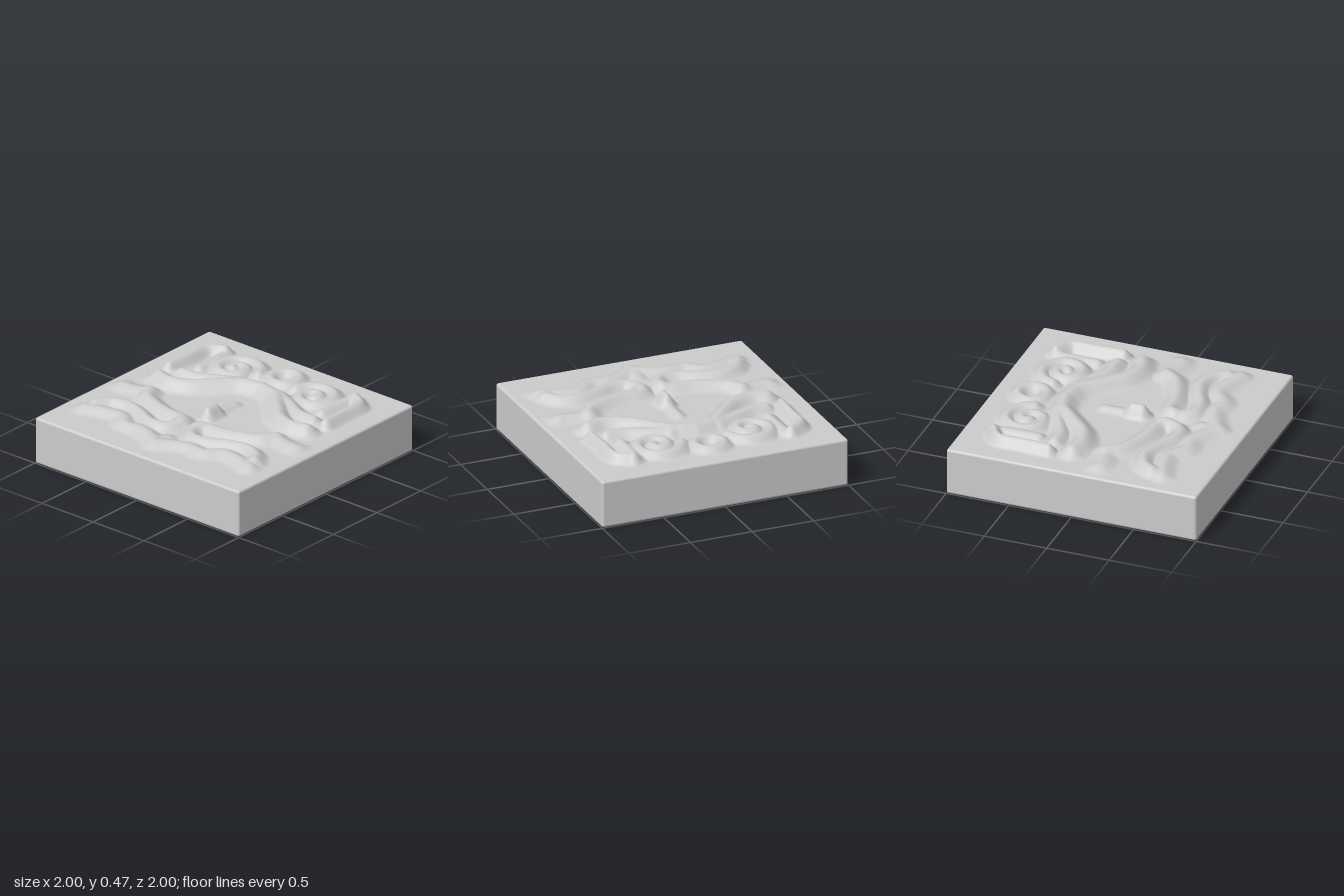
import * as THREE from 'three';
import { RoundedBoxGeometry } from 'three/addons/geometries/RoundedBoxGeometry.js';

const TOP = 0.376;

// Carved ridge: smooth path through [x, z] points, mirrored about x = 0
function ridge(height, width, points) {
  const curve = new THREE.CatmullRomCurve3(points.map(([x, z]) => new THREE.Vector3(x, 0, z)));
  return { height, width, path: curve.getPoints(points.length * 5) };
}

// Points along a spiral or ring
function spiral(cx, cz, r0, r1, a0, a1, n = 12) {
  return Array.from({ length: n + 1 }, (_, i) => {
    const t = i / n;
    const r = r0 + (r1 - r0) * t;
    const a = a0 + (a1 - a0) * t;
    return [cx + r * Math.cos(a), cz + r * Math.sin(a)];
  });
}

const ridges = [
  // brow arch
  ridge(0.08, 0.105, [[0, -0.43], [0.16, -0.39], [0.31, -0.25], [0.45, -0.12], [0.6, -0.07], [0.72, -0.1]]),
  // band above the brow
  ridge(0.062, 0.085, [[0.2, -0.43], [0.34, -0.36], [0.5, -0.28], [0.64, -0.27]]),
  // outer side strands
  ridge(0.075, 0.07, [[0.64, -0.76], [0.75, -0.68], [0.76, -0.48], [0.77, -0.27]]),
  ridge(0.045, 0.07, [[0.61, -0.74], [0.6, -0.58], [0.6, -0.42]]),
  // scrolls
  ridge(0.055, 0.075, spiral(0.38, -0.58, 0.2, 0.02, Math.PI * 1.05, Math.PI * 4.2, 20)),
  // crown ring
  ridge(0.05, 0.07, spiral(0, -0.7, 0.11, 0.11, -Math.PI / 2, Math.PI / 2)),
  // cheek lobes reaching the sides
  ridge(0.04, 0.1, [[0.68, 0.15], [0.8, 0.17], [0.89, 0.16]]),
  // upper lip
  ridge(0.062, 0.095, [[0.62, 0.13], [0.56, 0.22], [0.43, 0.29], [0.28, 0.335], [0.13, 0.35], [0.07, 0.4]]),
  // whisker
  ridge(0.062, 0.085, [[0.08, 0.36], [0.09, 0.47], [0.15, 0.54], [0.27, 0.54], [0.42, 0.47], [0.58, 0.43], [0.71, 0.47], [0.78, 0.56]]),
  // scalloped beard
  ridge(0.045, 0.095, [[0, 0.78], [0.12, 0.71], [0.24, 0.67], [0.38, 0.68], [0.5, 0.59], [0.64, 0.6], [0.8, 0.65]]),
  ridge(0.035, 0.09, [[0, 0.66], [0, 0.8]]),
  // bridge of the nose
  ridge(0.032, 0.06, [[0, -0.12], [0, 0.05]]),
  // nose
  ridge(0.098, 0.075, [[0, 0.1], [0, 0.18]]),
];

function distance(x, z, path) {
  let best = Infinity;
  for (let i = 1; i < path.length; i++) {
    const a = path[i - 1], b = path[i];
    const dx = b.x - a.x, dz = b.z - a.z;
    const t = THREE.MathUtils.clamp(((x - a.x) * dx + (z - a.z) * dz) / (dx * dx + dz * dz || 1), 0, 1);
    best = Math.min(best, Math.hypot(x - a.x - dx * t, z - a.z - dz * t));
  }
  return best;
}

// Soft union of all ridges, fading out at the rim
function reliefHeight(x, z) {
  const ax = Math.abs(x);
  let sum = 0;
  for (const { height, width, path } of ridges) {
    const d = distance(ax, z, path) / width;
    if (d < 1.3) sum += (height * Math.cos((d / 1.3) * Math.PI / 2) ** 2) ** 4;
  }
  const rim = 1 - THREE.MathUtils.smoothstep(Math.max(ax, Math.abs(z)), 0.84, 0.975);
  return Math.pow(sum, 0.25) * rim;
}

export function createModel() {
  const group = new THREE.Group();
  group.name = 'carvedTile';
  const material = new THREE.MeshStandardMaterial({ color: 0xcccccc });

  // Block with softened edges
  const slab = new THREE.Mesh(new RoundedBoxGeometry(2, 0.375, 2, 4, 0.02), material);
  slab.name = 'slab';
  slab.position.y = 0.1875;
  group.add(slab);

  // Raised carving on the top face
  const geometry = new THREE.PlaneGeometry(1.95, 1.95, 180, 180).rotateX(-Math.PI / 2);
  const p = geometry.attributes.position;
  for (let i = 0; i < p.count; i++) {
    p.setY(i, TOP + reliefHeight(p.getX(i), p.getZ(i)));
  }
  geometry.computeVertexNormals();
  const relief = new THREE.Mesh(geometry, material);
  relief.name = 'relief';
  group.add(relief);

  return group;
}
